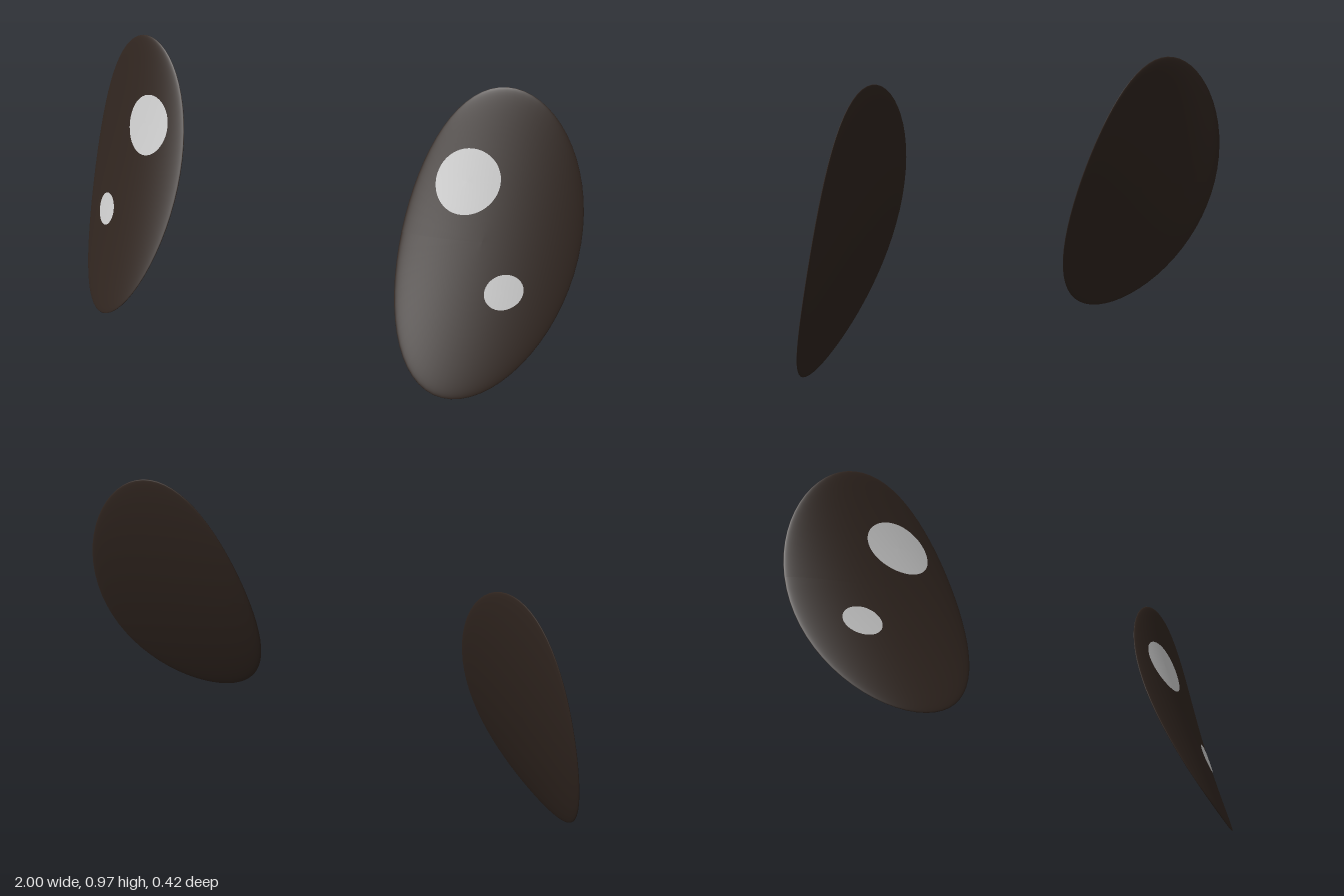
import * as THREE from 'three';

// Eye outline: centre and half sizes seen from the front
const CX = 0.727, CY = 0.487, RX = 0.272, RY = 0.483;
const BULGE = 0.019;

// Middle surface of the leaning, slightly twisted eye (u points outward, v up)
const middle = (u, v) =>
  -0.0175 - 0.105 * u - 0.16 * v - 0.0375 * (u * u - v * v) + 0.03 * u * v;

// Thin lens bent onto the middle surface; side is +1 or -1
function eyeball(side, shift) {
  const geo = new THREE.SphereGeometry(1, 64, 48);
  geo.rotateX(Math.PI / 2);
  const p = geo.attributes.position;
  for (let i = 0; i < p.count; i++) {
    const px = p.getX(i), v = p.getY(i), w = p.getZ(i);
    p.setXYZ(i, side * CX + RX * px, CY + RY * v, middle(side * px, v) + BULGE * w + shift);
  }
  geo.computeVertexNormals();
  return geo;
}

// Round glint lying just above the front of the eye
function glint(side, shift, x, y, r) {
  const geo = new THREE.RingGeometry(0, r, 48, 5);
  const p = geo.attributes.position;
  for (let i = 0; i < p.count; i++) {
    const gx = side * x + p.getX(i), gy = y + p.getY(i);
    const u = (side * gx - CX) / RX, v = (gy - CY) / RY;
    const w = Math.sqrt(Math.max(0, 1 - u * u - v * v));
    p.setXYZ(i, gx, gy, middle(u, v) + BULGE * w + shift + 0.004);
  }
  geo.computeVertexNormals();
  return geo;
}

export function createModel() {
  const model = new THREE.Group();
  model.name = 'eyes';
  const dark = new THREE.MeshStandardMaterial({ color: 0x30251f });
  const white = new THREE.MeshStandardMaterial({ color: 0xffffff });

  for (const [side, name, shift] of [[1, 'left', 0], [-1, 'right', 0.014]]) {
    const eye = new THREE.Group();
    eye.name = name + 'Eye';
    const add = (part, geo, mat) => {
      const mesh = new THREE.Mesh(geo, mat);
      mesh.name = name + part;
      eye.add(mesh);
    };
    add('Eyeball', eyeball(side, shift), dark);
    add('LargeGlint', glint(side, shift, 0.65, 0.67, 0.104), white);
    add('SmallGlint', glint(side, shift, 0.817, 0.337, 0.055), white);
    model.add(eye);
  }
  return model;
}
